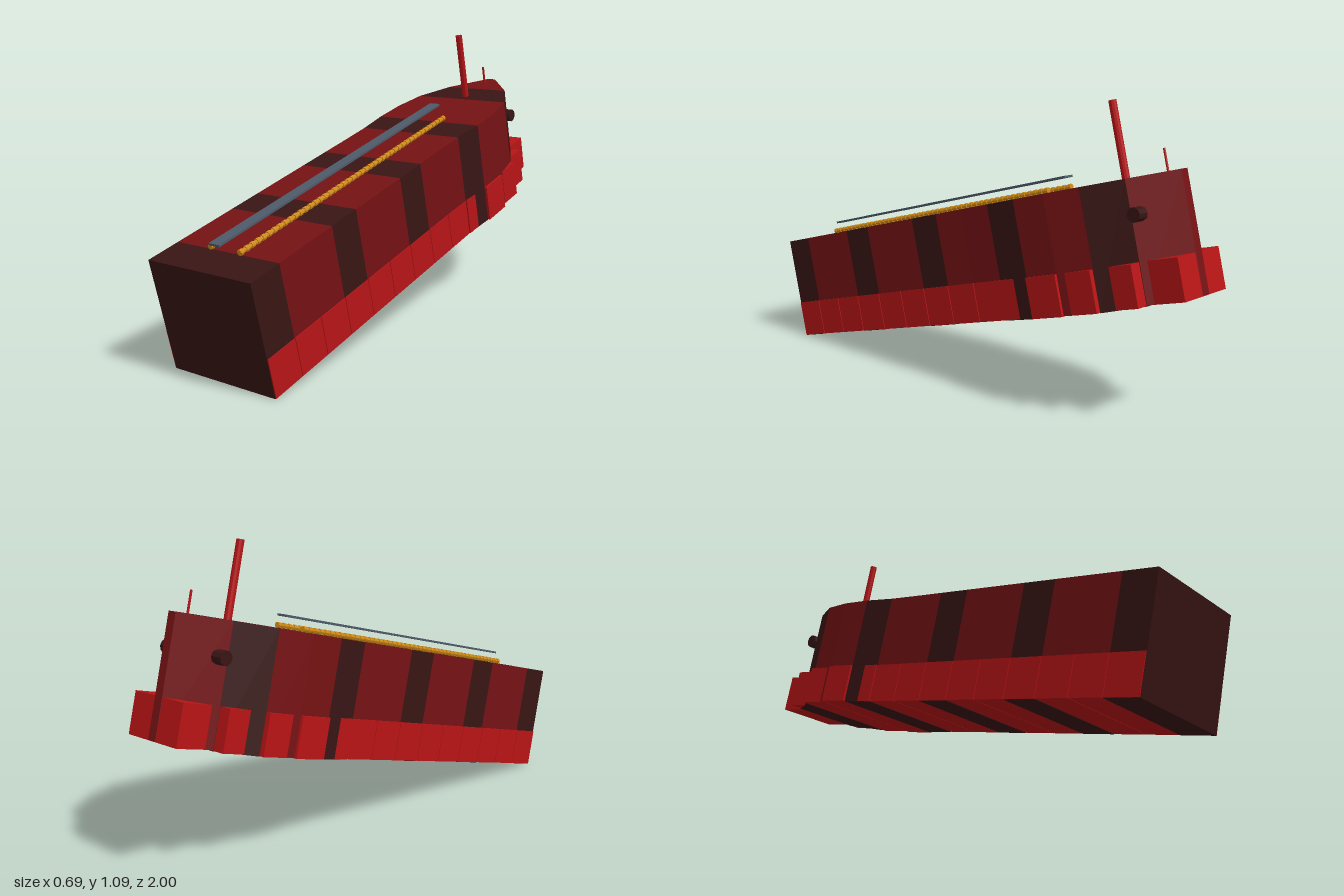
import * as THREE from 'three';

export function createModel() {
  const mat = (name, color) => {
    const m = new THREE.MeshStandardMaterial({ color, flatShading: true });
    m.name = name;
    return m;
  };
  const hullRed = mat('hull red', 0x751214);
  const dark = mat('dark brown', 0x381514);
  const bootRed = mat('bright red', 0xb81416);
  const orange = mat('pipe orange', 0xd08a16);
  const slate = mat('walkway slate', 0x4d5a68);

  // Ship frame: stern at z = 0, bow toward -z, keel at y = 0
  const ship = new THREE.Group();
  ship.name = 'ship';
  const add = (name, geo, material, x, y, z) => {
    const mesh = new THREE.Mesh(geo, material);
    mesh.name = name;
    mesh.position.set(x, y, z);
    ship.add(mesh);
    return mesh;
  };

  const SEG = 0.1375, COUNT = 14, DEPTH = 0.4225;

  // Hull: box slices whose ends follow the half-width of the plan outline
  const bowHalf = [0.229, 0.24, 0.238, 0.214, 0.142, 0.018];
  const half = (k) => (k < 9 ? 0.2275 : bowHalf[k - 9]);
  for (let k = 0; k < COUNT; k++) {
    const isDark = k % 3 === 0;
    const bottom = isDark ? 0 : 0.003;
    const geo = new THREE.BoxGeometry(2, DEPTH - bottom, SEG);
    const p = geo.attributes.position;
    for (let i = 0; i < p.count; i++) {
      p.setX(i, p.getX(i) * half(p.getZ(i) > 0 ? k : k + 1));
    }
    geo.computeVertexNormals();
    add('hullSection' + k, geo, isDark ? dark : hullRed, 0, (DEPTH + bottom) / 2, -(k + 0.5) * SEG);
  }

  // Lower hull blocks, stepping inward at the bow
  const bootBow = [0.249, 0.233, 0.19, 0.125];
  for (let k = 0; k < COUNT; k++) {
    const w = k < 9 ? 0.231 : k === 9 ? 0.2345 : bootBow[k - 10];
    const geo = new THREE.BoxGeometry(2 * w, 0.146, SEG - 0.003);
    add('lowerHullBlock' + k, geo, bootRed, 0, 0.0745, -(k + 0.5) * SEG);
  }

  // Raised walkway
  add('walkway', new THREE.BoxGeometry(0.046, 0.008, 1.353), slate, 0, DEPTH + 0.048, -0.767);

  // Deck pipes with evenly spaced collars
  for (const side of [-1, 1]) {
    const pipe = new THREE.CylinderGeometry(0.008, 0.008, 1.265, 8).rotateX(Math.PI / 2);
    add('deckPipe', pipe, orange, side * 0.066, DEPTH + 0.011, -0.763);
    const collar = new THREE.CylinderGeometry(0.011, 0.011, 0.014, 8).rotateX(Math.PI / 2);
    for (let i = 0; i < 46; i++) {
      add('pipeCollar', collar, orange, side * 0.066, DEPTH + 0.011, -0.138 - i * 0.0278);
    }
    // Bow anchor
    const anchor = new THREE.CylinderGeometry(0.026, 0.026, 0.045, 10).rotateZ(Math.PI / 2);
    add('anchor', anchor, dark, side * 0.133, 0.302, -1.805);
  }

  // Masts
  add('mast', new THREE.CylinderGeometry(0.014, 0.014, 0.276, 10), bootRed, 0, DEPTH + 0.136, -1.69);
  add('bowPole', new THREE.CylinderGeometry(0.0045, 0.0045, 0.08, 6), bootRed, 0, DEPTH + 0.038, -1.862);

  // Bow pitched up and turned slightly
  ship.rotation.set(THREE.MathUtils.degToRad(14), THREE.MathUtils.degToRad(8), 0, 'YXZ');
  ship.position.set(0.1, 0, 0.866);

  const model = new THREE.Group();
  model.name = 'model';
  model.add(ship);
  return model;
}
